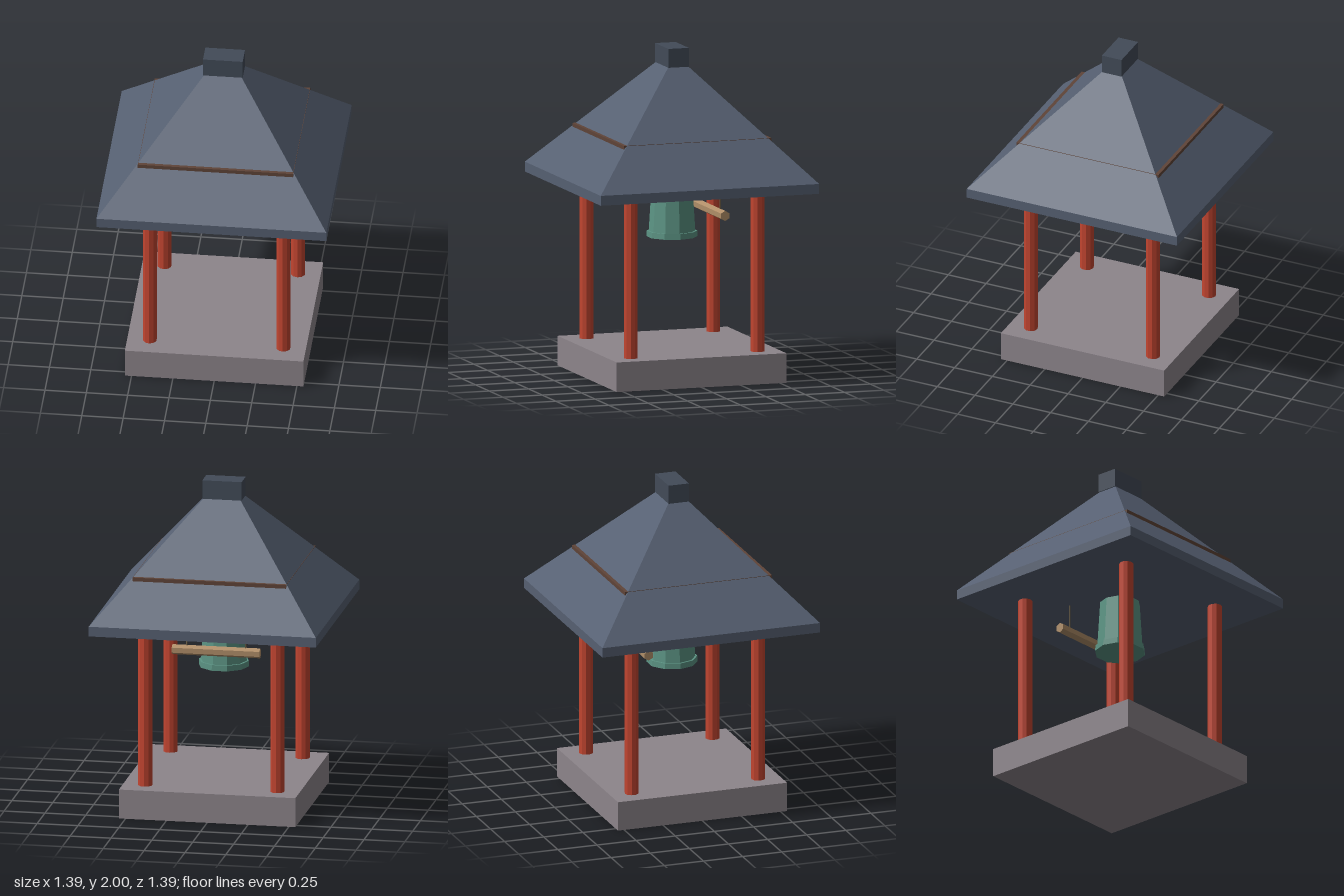
import * as THREE from 'three';

export function createModel() {
  const model = new THREE.Group();
  const mat = (color) => new THREE.MeshStandardMaterial({ color, flatShading: true });
  const stone = mat(0x8d858b), red = mat(0xc24530), slate = mat(0x566072), ridgeMat = mat(0x424b58);
  const brown = mat(0x5f4438), bronze = mat(0x5c9484), wood = mat(0xb08e68), cord = mat(0x6a5d45);

  const add = (name, geometry, material, x, y, z, parent = model) => {
    const mesh = new THREE.Mesh(geometry, material);
    mesh.name = name;
    mesh.position.set(x, y, z);
    parent.add(mesh);
    return mesh;
  };
  // Box spanning y0 to y1, centred on the axis
  const slab = (name, w, d, y0, y1, material) =>
    add(name, new THREE.BoxGeometry(w, y1 - y0, d), material, 0, (y0 + y1) / 2, 0);

  slab('base', 1.08, 1.08, 0, 0.18, stone);

  // Four corner posts
  const postGeo = new THREE.CylinderGeometry(0.043, 0.043, 1.02, 10);
  for (const x of [-0.404, 0.404])
    for (const z of [-0.404, 0.404]) add('post', postGeo, red, x, 0.68, z);

  // Roof: eave slab, tapering hip, trim band and ridge cap
  slab('eave', 1.39, 1.39, 1.165, 1.225, slate);
  const hip = slab('hipRoof', 1.39, 1.39, 1.225, 1.89, slate);
  const pos = hip.geometry.attributes.position;
  for (let i = 0; i < pos.count; i++) {
    if (pos.getY(i) > 0) {
      pos.setX(i, Math.sign(pos.getX(i)) * 0.11);
      pos.setZ(i, Math.sign(pos.getZ(i)) * 0.06);
    }
  }
  hip.geometry.computeVertexNormals();
  slab('roofBand', 0.94, 0.94, 1.46, 1.483, brown);
  slab('ridgeCap', 0.24, 0.13, 1.885, 2.0, ridgeMat);

  // Ten-sided bell with a corner on the x axis
  const bell = new THREE.Group();
  bell.name = 'bell';
  bell.rotation.y = Math.PI / 2;
  model.add(bell);
  add('bellBody', new THREE.CylinderGeometry(0.12, 0.14, 0.325, 10), bronze, 0, 1.0375, 0, bell);
  add('bellRim', new THREE.CylinderGeometry(0.152, 0.153, 0.035, 10), bronze, 0, 0.8575, 0, bell);

  // Hanging striker log behind the bell
  const log = new THREE.CylinderGeometry(0.031, 0.031, 0.537, 6, 1, false, Math.PI / 2);
  add('striker', log, wood, 0, 0.99, -0.245).rotation.z = Math.PI / 2;
  const ropeGeo = new THREE.CylinderGeometry(0.005, 0.005, 0.17, 6);
  for (const x of [-0.18, 0.18]) add('strikerRope', ropeGeo, cord, x, 1.09, -0.245);

  return model;
}
